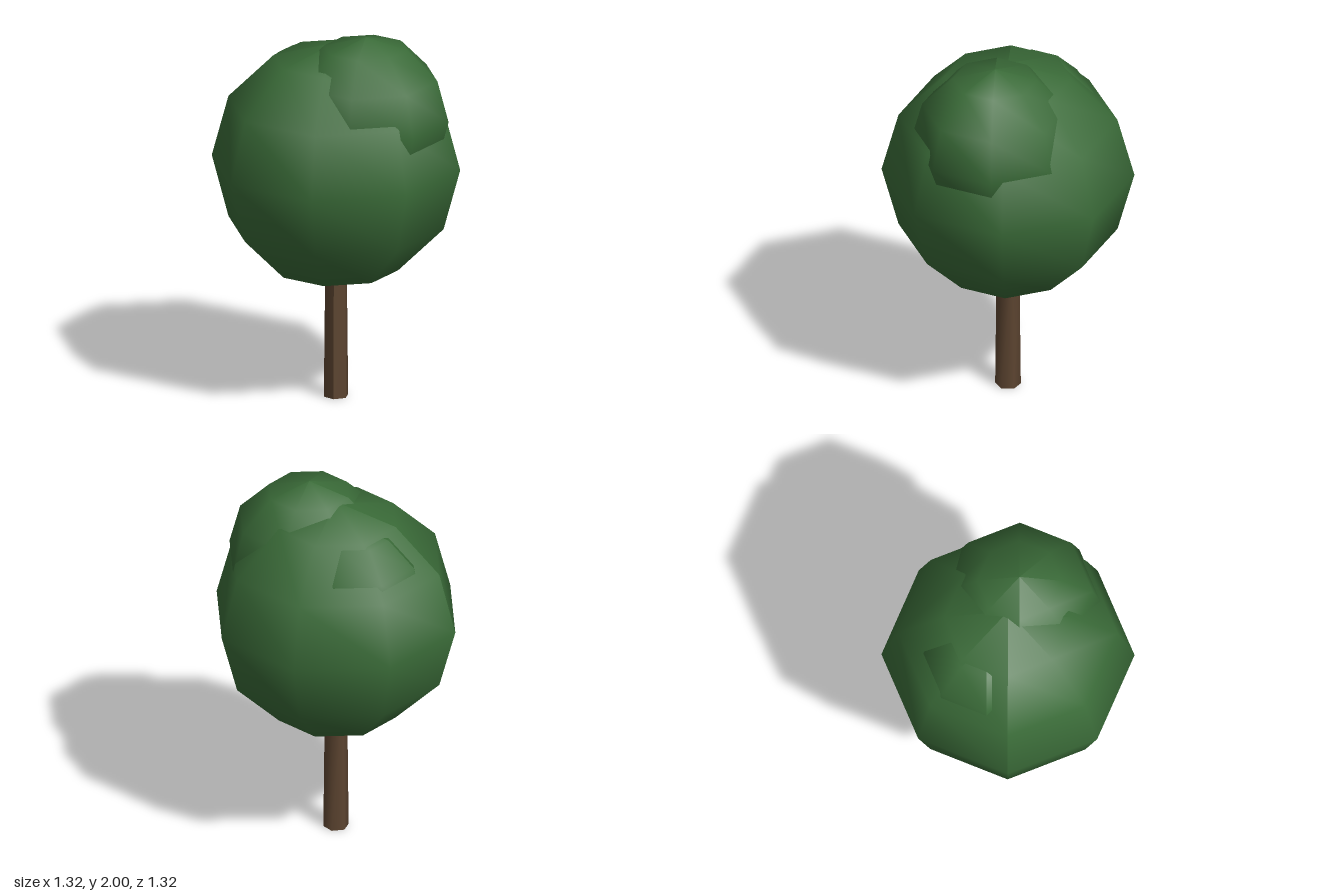
import * as THREE from 'three';

export function createModel() {
  const tree = new THREE.Group();
  tree.name = 'tree';

  const leafGreen = new THREE.MeshStandardMaterial({ color: 0x3a6b38 });
  leafGreen.name = 'leaf green';
  const barkBrown = new THREE.MeshStandardMaterial({ color: 0x5c4430 });
  barkBrown.name = 'bark brown';

  const addPart = (name, geometry, material, x, y, z) => {
    // Face-averaged normals keep the low-poly seams visible
    geometry.computeVertexNormals();
    const mesh = new THREE.Mesh(geometry, material);
    mesh.name = name;
    mesh.position.set(x, y, z);
    tree.add(mesh);
  };

  // Tapered six-sided trunk, its top hidden in the foliage
  const trunkHeight = 0.76;
  addPart('trunk', new THREE.CylinderGeometry(0.059, 0.067, trunkHeight, 6),
    barkBrown, 0, trunkHeight / 2, 0);

  // Overlapping foliage balls: name, radius, centre
  const foliage = [
    ['mainCrown', 0.66, 0, 1.28, 0],
    ['upperLeftCrown', 0.44, 0.17, 1.56, 0.06],
    ['rearRightCrown', 0.38, -0.14, 1.5, -0.11],
  ];
  for (const [name, radius, x, y, z] of foliage) {
    addPart(name, new THREE.SphereGeometry(radius, 8, 6), leafGreen, x, y, z);
  }

  return tree;
}
